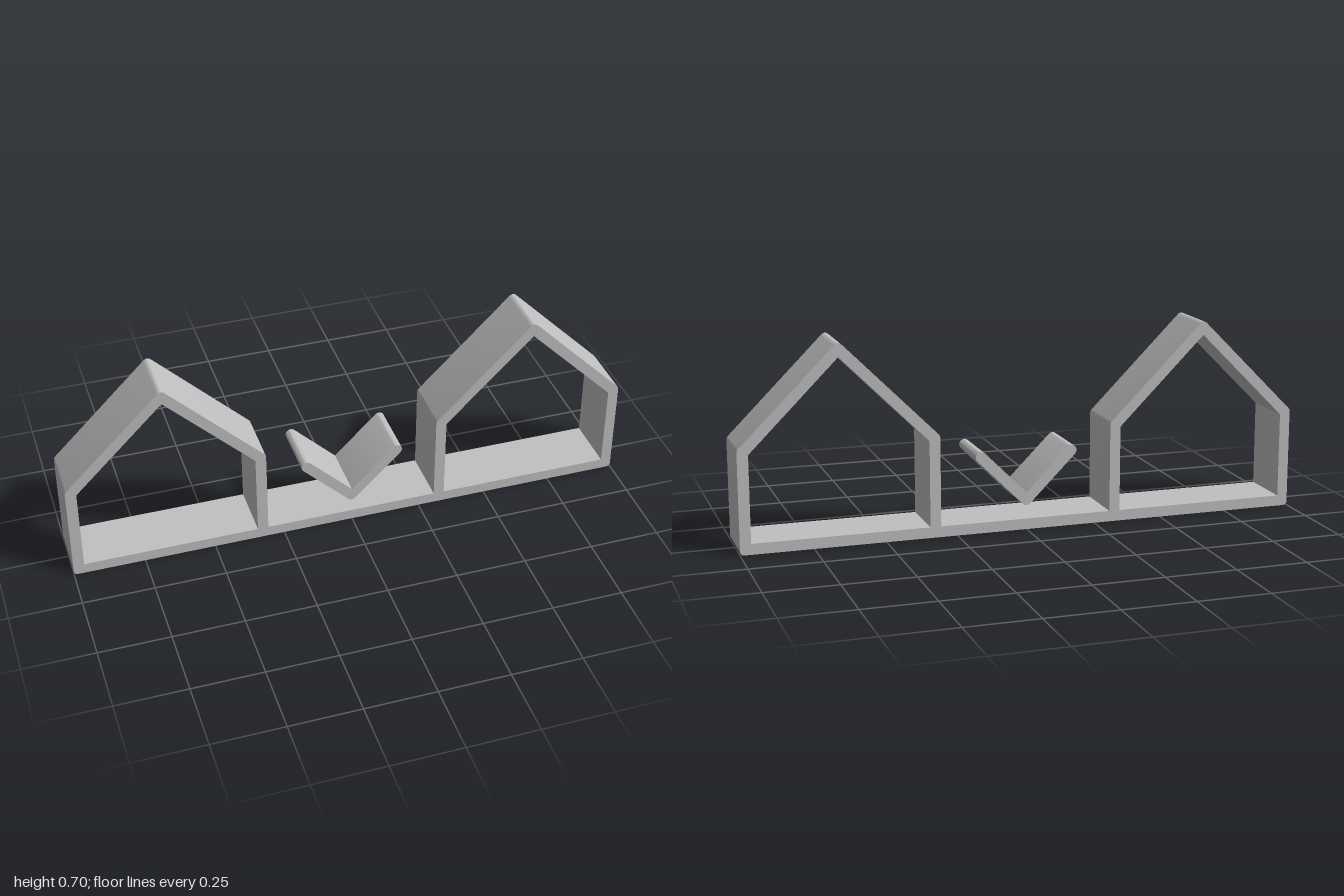
import * as THREE from 'three';
import { toCreasedNormals } from 'three/addons/utils/BufferGeometryUtils.js';

const DEPTH = 0.202;
const R = 0.019; // half the strip thickness, also the corner radius

// Trace a closed polygon of [x, y, cut]; cut is the rounding distance at that corner
function trace(path, pts) {
  const n = pts.length;
  pts.forEach(([x, y, cut = 0], i) => {
    const toward = ([px, py]) => {
      const d = Math.hypot(px - x, py - y);
      return [x + ((px - x) / d) * cut, y + ((py - y) / d) * cut];
    };
    const a = toward(pts[(i + n - 1) % n]);
    const b = toward(pts[(i + 1) % n]);
    if (i === 0) path.moveTo(...a); else path.lineTo(...a);
    if (cut) path.quadraticCurveTo(x, y, ...b);
  });
  path.closePath();
  return path;
}

function extrude(shape, name, material) {
  const geo = new THREE.ExtrudeGeometry(shape, { depth: DEPTH, bevelEnabled: false, curveSegments: 8 });
  geo.translate(0, 0, -DEPTH / 2);
  const mesh = new THREE.Mesh(toCreasedNormals(geo, 0.4), material);
  mesh.name = name;
  return mesh;
}

export function createModel() {
  const model = new THREE.Group();
  model.name = 'twinHouseStand';
  const grey = new THREE.MeshStandardMaterial({ color: 0xc0c0c0 });
  grey.name = 'lightGrey';

  // Outline: base strip with a gabled house rising at each end
  const half = [
    [1, 0, 0.016], [1, 0.357, 0.008], [0.654, 0.703, R], [0.308, 0.357, 0.008], [0.308, 0.038],
  ];
  const mirrored = half.map(([x, y, c]) => [-x, y, c]).reverse();
  const frame = trace(new THREE.Shape(), [...half, ...mirrored]);

  // House openings
  for (const s of [-1, 1]) {
    frame.holes.push(trace(new THREE.Path(), [
      [s * 0.346, 0.038], [s * 0.346, 0.341], [s * 0.654, 0.649], [s * 0.962, 0.341], [s * 0.962, 0.038],
    ]));
  }
  model.add(extrude(frame, 'houseFrame', grey));

  // Floating V strip with rounded tips and a rounded bottom
  const tipX = 0.164, tipY = 0.27, lowY = 0.106, q = Math.PI / 4;
  const vee = new THREE.Shape();
  vee.absarc(0, lowY, R, -3 * q, -q, false);
  vee.absarc(tipX, tipY, R, -q, 3 * q, false);
  vee.lineTo(0, lowY + R * Math.SQRT2);
  vee.absarc(-tipX, tipY, R, q, 5 * q, false);
  vee.closePath();
  model.add(extrude(vee, 'floatingVee', grey));

  return model;
}
